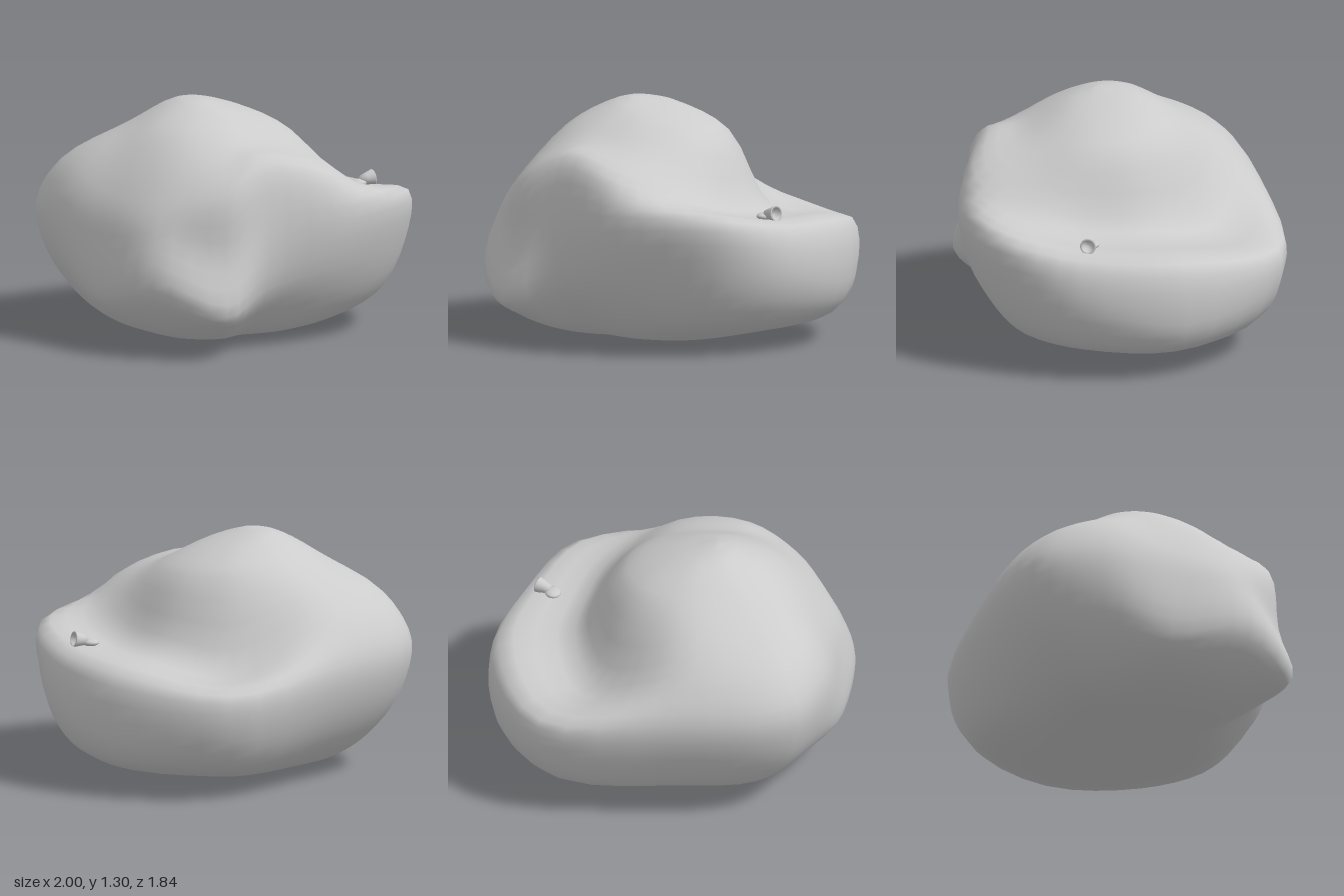
import * as THREE from 'three';
import { mergeVertices } from 'three/addons/utils/BufferGeometryUtils.js';

const V = (x, y, z) => new THREE.Vector3(x, y, z);

// rib around the off-centre axis: angle (0 = +x, 90 = front), then radius and height of belly, rim and shelf
const RIBS = [
  [0, 1.14, 0.34, 1.1, 0.68, 0.68, 0.72],
  [30, 1.1, 0.44, 1.05, 0.71, 0.69, 0.75],
  [55, 1.03, 0.48, 1.07, 0.78, 0.76, 0.83],
  [85, 0.83, 0.45, 0.89, 0.78, 0.79, 0.95],
  [118, 0.71, 0.36, 0.74, 0.74, 0.66, 1.05],
  [138, 0.89, 0.25, 0.8, 0.56, 0.75, 0.9],
  [165, 0.88, 0.39, 0.81, 0.67, 0.71, 0.85],
  [195, 0.79, 0.3, 0.77, 0.64, 0.7, 0.84],
  [222, 0.83, 0.42, 0.87, 0.72, 0.75, 0.95],
  [245, 0.9, 0.43, 0.96, 0.7, 0.82, 0.93],
  [285, 0.85, 0.43, 0.89, 0.68, 0.74, 0.9],
  [325, 1.12, 0.4, 1.11, 0.6, 0.72, 0.67],
];

// underside and dome follow from the belly and the angle
function ribCurve([deg, bellyR, bellyY, rimR, rimY, shelfR, shelfY]) {
  const a = THREE.MathUtils.degToRad(deg), c = Math.cos(a), s = Math.sin(a);
  const at = (r, y) => V(-0.15 + r * c, y, r * s);
  return new THREE.CatmullRomCurve3([
    V(-0.14, 0, 0),
    at(bellyR * 0.28, 0.015),
    at(bellyR * 0.58, 0.06),
    at(bellyR * (0.8 + 0.04 * c + 0.07 * c * c), 0.07 + bellyY * 0.27),
    at(bellyR, bellyY),
    at(rimR, rimY),
    at(shelfR, shelfY),
    at(0.45, 1.12 - 0.02 * c - 0.02 * s),
    at(0.2, 1.255 - 0.02 * c - 0.025 * s),
    V(-0.23, 1.3, 0),
  ]);
}

// smooth skin: splines upward, then closed splines around
function bodyGeometry(around, up) {
  const ribs = RIBS.map(ribCurve);
  const pos = [], index = [];
  for (let j = 0; j <= up; j++) {
    const ring = new THREE.CatmullRomCurve3(ribs.map((r) => r.getPoint(j / up)), true);
    for (let i = 0; i < around; i++) pos.push(...ring.getPoint(i / around).toArray());
  }
  for (let j = 0; j < up; j++) {
    for (let i = 0; i < around; i++) {
      const a = j * around + i, b = j * around + (i + 1) % around;
      const c = a + around, d = b + around;
      if (j > 0) index.push(a, c, b);
      if (j < up - 1) index.push(b, c, d);
    }
  }
  const raw = new THREE.BufferGeometry();
  raw.setAttribute('position', new THREE.Float32BufferAttribute(pos, 3));
  raw.setIndex(index);
  const skin = mergeVertices(raw, 1e-5);
  skin.computeVertexNormals();
  return skin;
}

export function createModel() {
  const model = new THREE.Group();
  model.name = 'boulder';
  const mat = new THREE.MeshStandardMaterial({ color: 0xcccccc });
  const thin = new THREE.MeshStandardMaterial({ color: 0xcccccc, side: THREE.DoubleSide });

  const body = new THREE.Mesh(bodyGeometry(48, 36), mat);
  body.name = 'body';
  model.add(body);

  // small spout on the ledge
  const spout = new THREE.Group();
  spout.name = 'spout';
  const base = new THREE.Mesh(new THREE.SphereGeometry(0.045, 16, 8), mat);
  base.name = 'spoutBase';
  base.scale.set(1, 0.45, 1.2);
  base.position.set(0.625, 0.745, 0.42);

  // hollow flared nozzle
  const cupProfile = [[0, 0], [0.024, 0], [0.033, 0.035], [0.044, 0.074], [0.042, 0.08],
    [0.032, 0.078], [0.026, 0.05], [0, 0.045]].map(([r, y]) => new THREE.Vector2(r, y));
  const nozzle = new THREE.Mesh(new THREE.LatheGeometry(cupProfile, 16), thin);
  nozzle.name = 'spoutNozzle';
  nozzle.position.set(0.638, 0.757, 0.43);
  nozzle.quaternion.setFromUnitVectors(V(0, 1, 0), V(0.85, 0.15, 0.5).normalize());
  spout.add(base, nozzle);
  model.add(spout);

  return model;
}
